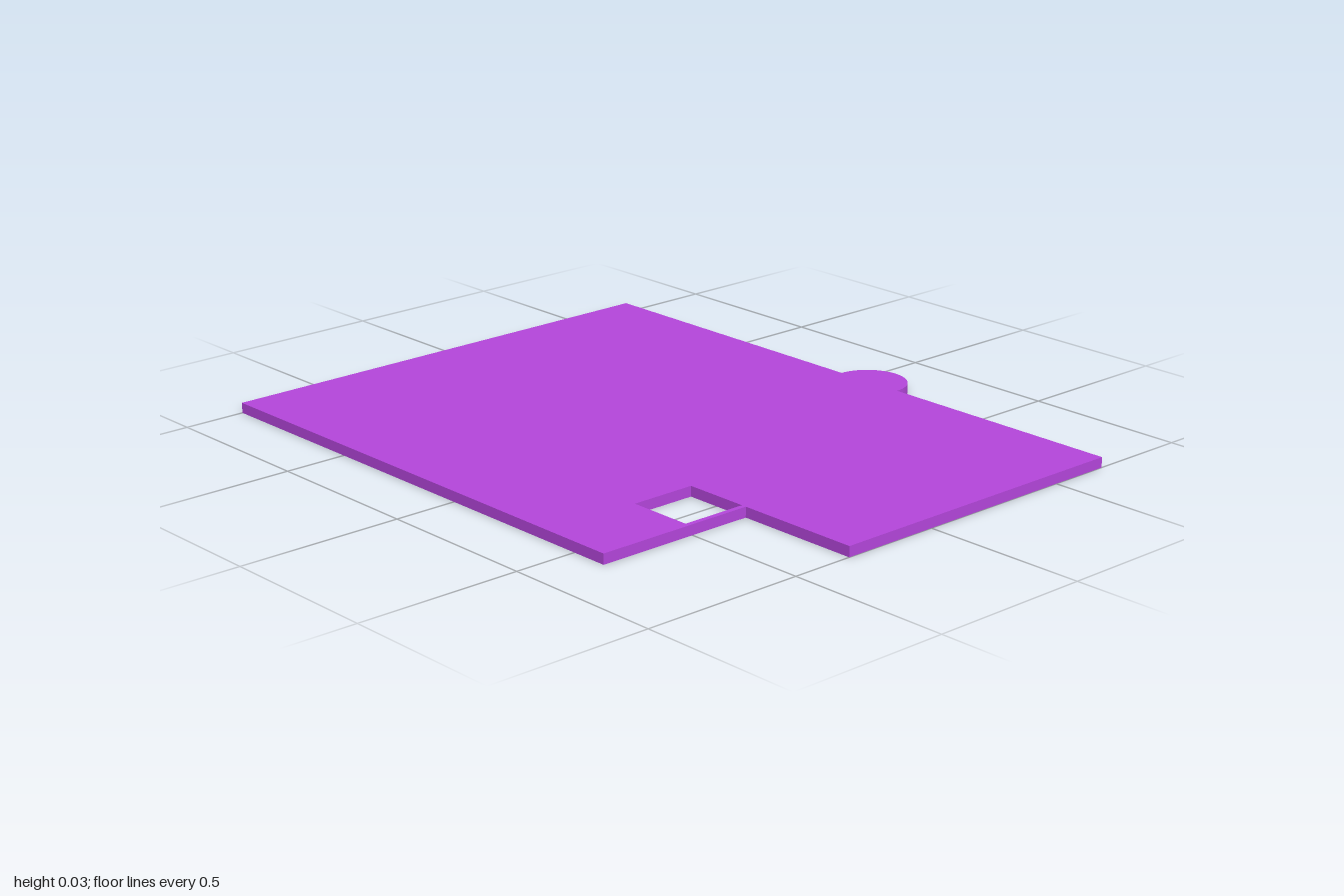
import * as THREE from 'three';

export function createModel() {
  const group = new THREE.Group();
  const left = -0.808, right = 0.692, notchX = -0.308, notchZ = 0.615;
  const tabR = 0.115, tabZ = 0.1, thickness = 0.031;

  // Plan outline, drawn with y = -z: slab with a corner notch and a round side tab
  const outline = new THREE.Shape();
  outline.moveTo(left, -notchZ);
  outline.lineTo(notchX, -notchZ);
  outline.lineTo(notchX, -1);
  outline.lineTo(right, -1);
  outline.lineTo(right, -tabZ - tabR);
  outline.absarc(right, -tabZ, tabR, -Math.PI / 2, Math.PI / 2, false);
  outline.lineTo(right, 1);
  outline.lineTo(left, 1);
  outline.closePath();

  // Square opening, leaving a thin strip along the notch edge
  const x0 = notchX - 0.203, z0 = 0.4, z1 = 0.6;
  const opening = new THREE.Path();
  opening.moveTo(x0, -z0);
  opening.lineTo(notchX, -z0);
  opening.lineTo(notchX, -z1);
  opening.lineTo(x0, -z1);
  opening.closePath();
  outline.holes.push(opening);

  const geometry = new THREE.ExtrudeGeometry(outline, {
    depth: thickness, bevelEnabled: false, curveSegments: 48,
  });
  geometry.rotateX(-Math.PI / 2);

  const slab = new THREE.Mesh(geometry, new THREE.MeshStandardMaterial({ color: 0xb446db }));
  slab.name = 'floorSlab';
  group.add(slab);
  return group;
}
